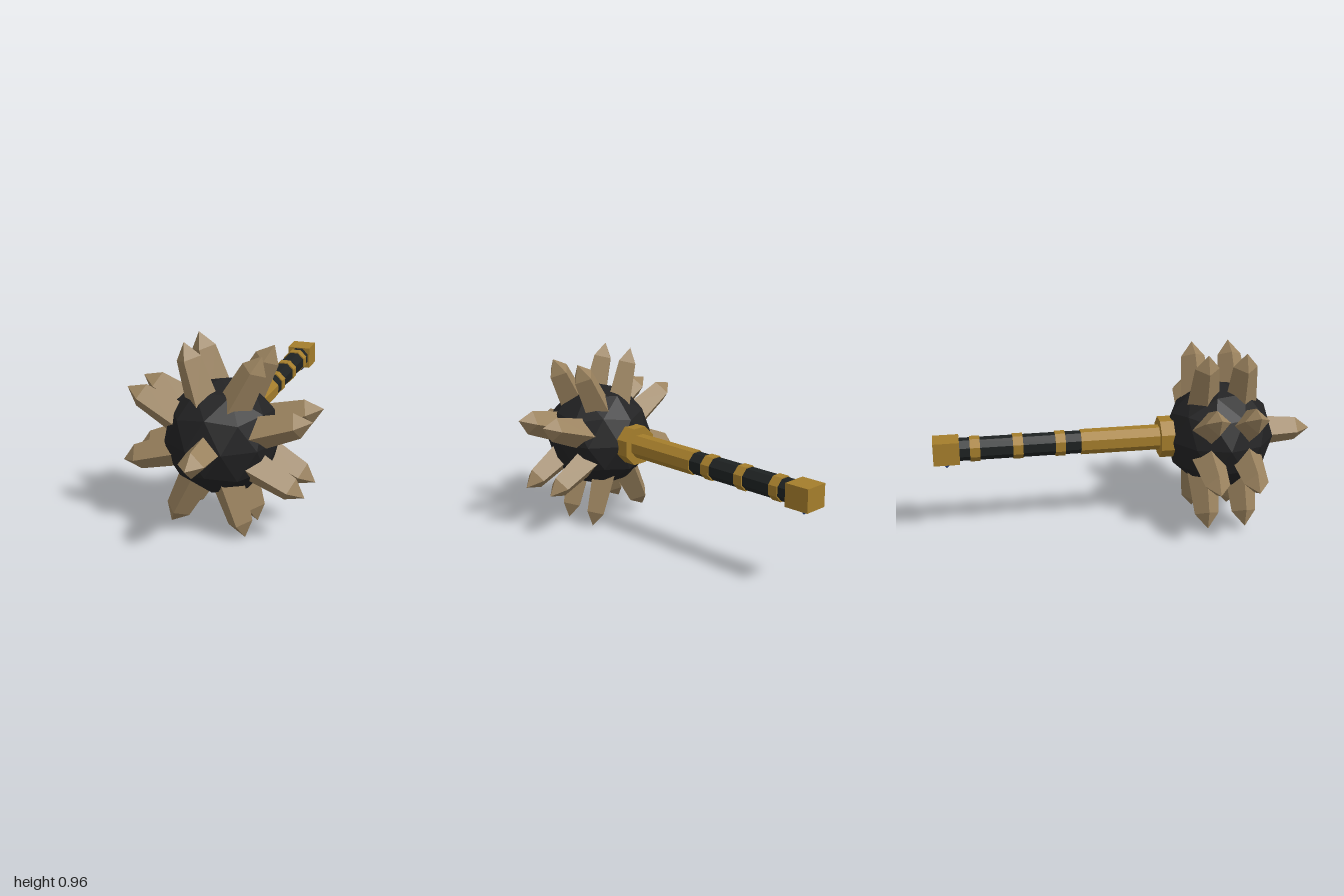
import * as THREE from 'three';

const CY = 0.482;   // height of the handle axis
const HEAD_Z = 0.5; // centre of the head

function mat(name, color) {
  const m = new THREE.MeshStandardMaterial({ color, flatShading: true });
  m.name = name;
  return m;
}

export function createModel() {
  const iron = mat('black iron', 0x222223);
  const leather = mat('dark leather', 0x1e2222);
  const gold = mat('old gold', 0xa47d2b);
  const bone = mat('bone', 0x9b835f);
  const blue = mat('blue gem', 0x2c4c9c);

  const root = new THREE.Group();
  root.name = 'spikedMace';
  const add = (name, geometry, material, parent = root) => {
    const mesh = new THREE.Mesh(geometry, material);
    mesh.name = name;
    parent.add(mesh);
    return mesh;
  };

  // Faceted head, one corner straight up
  const ball = new THREE.IcosahedronGeometry(0.287, 1);
  ball.rotateX(Math.atan((1 + Math.sqrt(5)) / 2));
  add('head', ball, iron).position.set(0, CY, HEAD_Z);

  // Four-sided spike pointing along +y, measured from the head's axis
  const body = new THREE.CylinderGeometry(0.064, 0.085, 0.222, 4);
  body.translate(0, 0.311, 0);
  const tip = new THREE.ConeGeometry(0.064, 0.08, 4, 1, true);
  tip.translate(0, 0.462, 0);
  const spike = (name) => {
    const g = new THREE.Group();
    g.name = name;
    add('spikeBody', body, bone, g);
    add('spikeTip', tip, bone, g);
    root.add(g);
    return g;
  };

  // Two rings of eight spikes, and one at the front
  for (const dz of [-0.1, 0.1]) {
    for (let i = 0; i < 8; i++) {
      const s = spike('ringSpike');
      s.position.set(0, CY, HEAD_Z + dz);
      s.rotation.z = THREE.MathUtils.degToRad(17.3 + 45 * i);
    }
  }
  const front = spike('frontSpike');
  front.position.set(0, CY, HEAD_Z);
  front.rotation.x = Math.PI / 2;

  // Octagonal handle sections lying along z, sized by half their flat width
  const section = (name, z0, z1, half, material) => {
    const r = half / Math.cos(Math.PI / 8);
    const g = new THREE.CylinderGeometry(r, r, z1 - z0, 8);
    g.rotateY(Math.PI / 8);
    g.rotateX(Math.PI / 2);
    add(name, g, material).position.set(0, CY, (z0 + z1) / 2);
  };
  section('collar', 0.175, 0.248, 0.1, gold);
  section('shaft', -0.24, 0.18, 0.061, gold);
  section('grip', -0.88, -0.235, 0.055, leather);
  for (const z of [-0.348, -0.567, -0.787]) section('gripRing', z - 0.026, z + 0.026, 0.061, gold);

  // Pommel block with a gem underneath
  add('pommel', new THREE.BoxGeometry(0.13, 0.119, 0.134), gold).position.set(0, CY, -0.933);
  const gem = new THREE.ConeGeometry(0.037, 0.042, 4);
  gem.rotateX(Math.PI);
  add('pommelGem', gem, blue).position.set(0, CY - 0.079, -0.933);

  return root;
}
